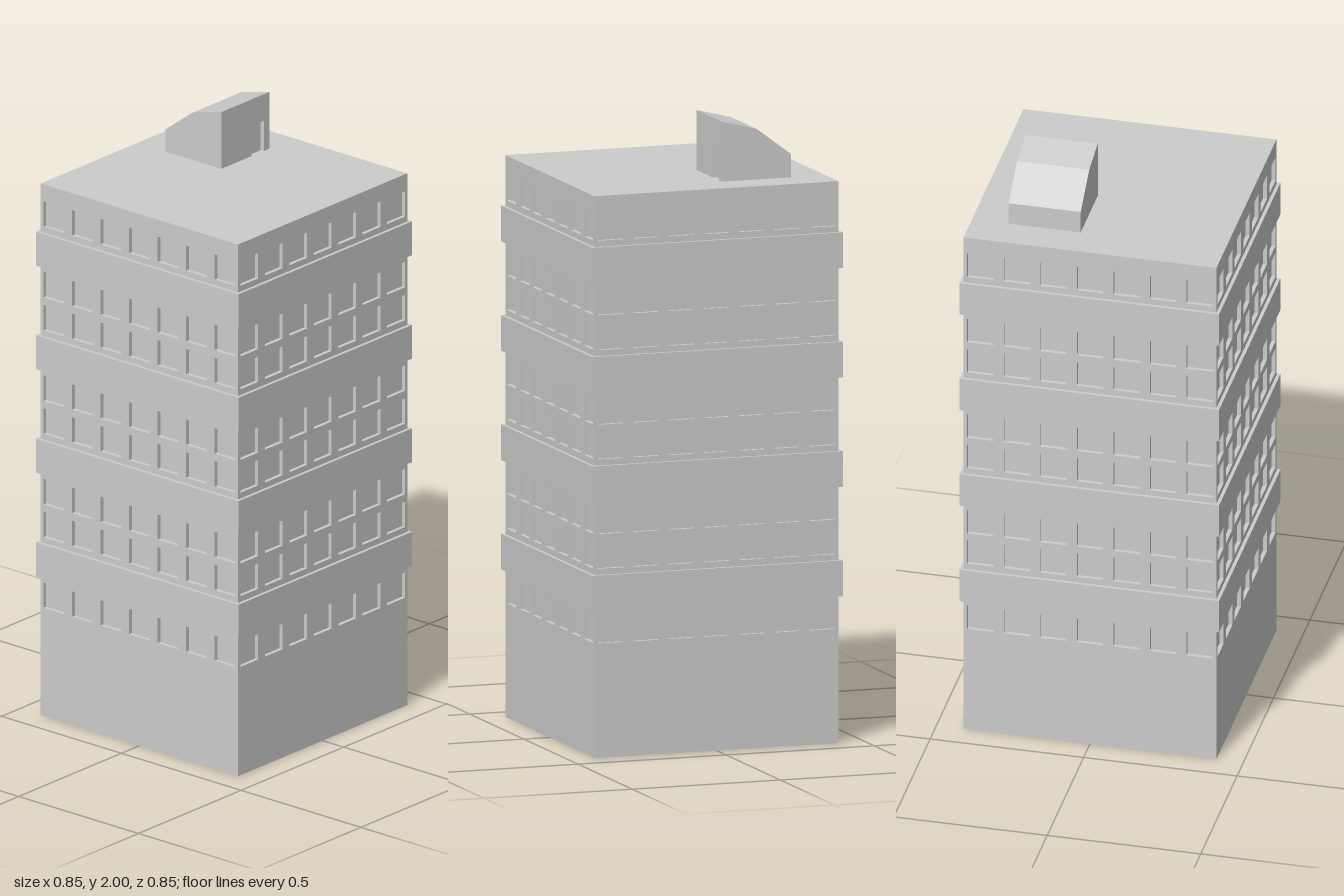
import * as THREE from 'three';
import { mergeGeometries } from 'three/addons/utils/BufferGeometryUtils.js';

const HALF = 0.412, BAND_HALF = 0.423, TOP = 1.807;
const BAND_H = 0.115, BANDS = [0, 1, 2, 3].map(i => 0.531 + i * 0.3517);
const WIN = 0.086, WIN_STEP = 0.119, ROW_OFFSET = 0.12, DEPTH = 0.013;

const material = new THREE.MeshStandardMaterial({
  color: 0xcccccc, flatShading: true, side: THREE.DoubleSide,
});

function addMesh(parent, name, geometry) {
  const mesh = new THREE.Mesh(geometry, material);
  mesh.name = name;
  parent.add(mesh);
  return mesh;
}

// Closed outline through [x, y] points
const outline = pts => new THREE.Shape(pts.map(([x, y]) => new THREE.Vector2(x, y)));
const rect = (x0, y0, x1, y1) => outline([[x0, y0], [x1, y0], [x1, y1], [x0, y1]]);

// Tray sunk behind z = 0: a back pane and four reveals
function recess(x0, y0, x1, y1) {
  const w = x1 - x0, h = y1 - y0, d = DEPTH;
  const parts = [
    new THREE.PlaneGeometry(w, h).translate(0, 0, -d),
    new THREE.PlaneGeometry(d, h).rotateY(Math.PI / 2).translate(-w / 2, 0, -d / 2),
    new THREE.PlaneGeometry(d, h).rotateY(-Math.PI / 2).translate(w / 2, 0, -d / 2),
    new THREE.PlaneGeometry(w, d).rotateX(-Math.PI / 2).translate(0, -h / 2, -d / 2),
    new THREE.PlaneGeometry(w, d).rotateX(Math.PI / 2).translate(0, h / 2, -d / 2),
  ];
  return mergeGeometries(parts).translate((x0 + x1) / 2, (y0 + y1) / 2, 0);
}

// One side of the tower: wall strips between the bands, with sunken windows
function facadeGeometries() {
  const walls = [], windows = [];
  for (let i = 0; i <= BANDS.length; i++) {
    const y0 = i === 0 ? 0 : BANDS[i - 1] + BAND_H / 2;
    const y1 = i === BANDS.length ? TOP : BANDS[i] - BAND_H / 2;
    const rows = [];
    if (i > 0) rows.push(BANDS[i - 1] + ROW_OFFSET);
    if (i < BANDS.length) rows.push(BANDS[i] - ROW_OFFSET);

    const wall = rect(-HALF, y0, HALF, y1);
    for (const y of rows) {
      for (let k = -3; k <= 3; k++) {
        const x = k * WIN_STEP;
        const box = [x - WIN / 2, y - WIN / 2, x + WIN / 2, y + WIN / 2];
        wall.holes.push(rect(...box));
        windows.push(recess(...box));
      }
    }
    walls.push(new THREE.ShapeGeometry(wall));
  }
  return { wall: mergeGeometries(walls), windows: mergeGeometries(windows) };
}

// Square ring standing proud of the walls, open inside
function bandGeometry() {
  const h = BAND_H / 2;
  const profile = [[HALF, -h], [BAND_HALF, -h], [BAND_HALF, h], [HALF, h]]
    .map(([r, y]) => new THREE.Vector2(r * Math.SQRT2, y));
  return new THREE.LatheGeometry(profile, 4, Math.PI / 4).toNonIndexed();
}

// Rooftop stair house with a sloping back and a sunken door
function buildStairHouse() {
  const group = new THREE.Group();
  group.name = 'stairHouse';
  const x0 = 0.058, x1 = 0.293, zFront = -0.061, zBack = -0.295;
  const slope = [[zFront, 2], [-0.178, 1.97], [zBack, 1.882], [zBack, TOP]];
  const door = [0.206, TOP, 0.265, 1.91];

  const front = outline([
    [x0, TOP], [door[0], TOP], [door[0], door[3]], [door[2], door[3]],
    [door[2], TOP], [x1, TOP], [x1, 2], [x0, 2],
  ]);
  addMesh(group, 'stairHouseFront', new THREE.ShapeGeometry(front)).position.z = zFront;
  addMesh(group, 'stairHouseDoor', recess(...door)).position.z = zFront;

  const side = new THREE.ShapeGeometry(outline([[zFront, TOP], ...slope]));
  side.rotateY(-Math.PI / 2);
  addMesh(group, 'stairHouseRightSide', side).position.x = x0;
  addMesh(group, 'stairHouseLeftSide', side).position.x = x1;

  // Roof panels and back wall follow the side profile
  const panels = [];
  for (let i = 0; i < slope.length - 1; i++) {
    const [za, ya] = slope[i], [zb, yb] = slope[i + 1];
    const panel = new THREE.PlaneGeometry(x1 - x0, Math.hypot(zb - za, yb - ya));
    panel.rotateX(-Math.PI / 2 - Math.atan2(yb - ya, za - zb) * -1);
    panels.push(panel.translate((x0 + x1) / 2, (ya + yb) / 2, (za + zb) / 2));
  }
  addMesh(group, 'stairHouseRoof', mergeGeometries(panels));
  return { group, footprint: rect(x0, -zFront, x1, -zBack) };
}

export function createModel() {
  const model = new THREE.Group();
  model.name = 'towerBlock';

  // Four matching sides
  const { wall, windows } = facadeGeometries();
  ['front', 'left', 'back', 'right'].forEach((name, i) => {
    const facade = new THREE.Group();
    facade.name = `${name}Facade`;
    facade.rotation.y = i * Math.PI / 2;
    addMesh(facade, 'wall', wall).position.z = HALF;
    addMesh(facade, 'windows', windows).position.z = HALF;
    model.add(facade);
  });

  // Projecting bands
  const band = bandGeometry();
  BANDS.forEach((y, i) => { addMesh(model, `band${i + 1}`, band).position.y = y; });

  // Flat roof, open beneath the stair house
  const stairs = buildStairHouse();
  const roof = rect(-HALF, -HALF, HALF, HALF);
  roof.holes.push(stairs.footprint);
  addMesh(model, 'roof', new THREE.ShapeGeometry(roof).rotateX(-Math.PI / 2)).position.y = TOP;
  model.add(stairs.group);

  return model;
}
